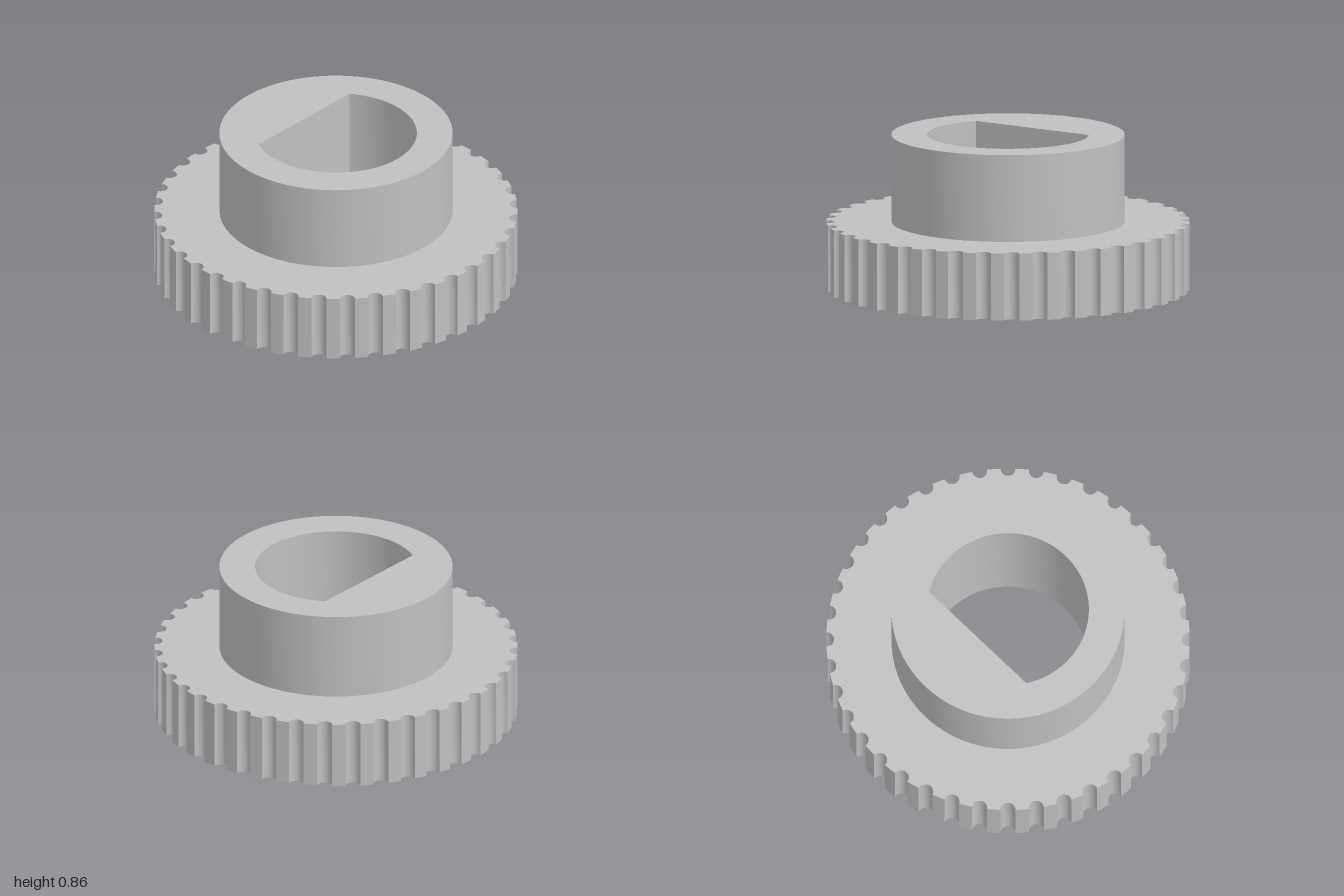
import * as THREE from 'three';
import { toCreasedNormals } from 'three/addons/utils/BufferGeometryUtils.js';

const TEETH = 40, NOTCH = 0.042;
const RIM_TOP = 0.375, HUB_TOP = 0.86;
const HUB_RADIUS = 0.642, BORE_RADIUS = 0.445, BORE_FLAT = 0.235;

// D-shaped bore, with its flat towards the back
function boreHole() {
  const a = Math.asin(BORE_FLAT / BORE_RADIUS);
  const points = [];
  for (let i = 0; i <= 72; i++) {
    const t = Math.PI - a + (i / 72) * (Math.PI + 2 * a);
    points.push(new THREE.Vector2(BORE_RADIUS * Math.cos(t), BORE_RADIUS * Math.sin(t)));
  }
  return new THREE.Path(points);
}

// Round rim with half-round grooves cut into it
function toothedOutline() {
  const points = [];
  const centre = Math.sqrt(1 - NOTCH * NOTCH);
  const pitch = (Math.PI * 2) / TEETH;
  for (let i = 0; i < TEETH; i++) {
    const angle = i * pitch;
    for (let k = 0; k <= 10; k++) {
      const t = (k / 10 - 0.5) * Math.PI;
      const p = new THREE.Vector2(centre - NOTCH * Math.cos(t), NOTCH * Math.sin(t));
      points.push(p.rotateAround(new THREE.Vector2(), angle));
    }
    // middle of the tooth crest
    const mid = angle + pitch / 2;
    points.push(new THREE.Vector2(Math.cos(mid), Math.sin(mid)));
  }
  return new THREE.Shape(points);
}

function circleOutline(radius, segments) {
  const points = [];
  for (let i = 0; i < segments; i++) {
    const t = (i / segments) * Math.PI * 2;
    points.push(new THREE.Vector2(radius * Math.cos(t), radius * Math.sin(t)));
  }
  return new THREE.Shape(points);
}

// Upright extrusion pierced by the bore
function boredPart(name, shape, bottom, top, material) {
  shape.holes.push(boreHole());
  const geometry = new THREE.ExtrudeGeometry(shape, { depth: top - bottom, bevelEnabled: false });
  geometry.rotateX(-Math.PI / 2);
  geometry.translate(0, bottom, 0);
  const mesh = new THREE.Mesh(toCreasedNormals(geometry, 0.5), material);
  mesh.name = name;
  return mesh;
}

export function createModel() {
  const metal = new THREE.MeshStandardMaterial({ color: 0xc0c0c0 });
  metal.name = 'light grey metal';

  const pulley = new THREE.Group();
  pulley.name = 'timingPulley';
  pulley.add(
    boredPart('toothedRim', toothedOutline(), 0, RIM_TOP, metal),
    boredPart('hub', circleOutline(HUB_RADIUS, 96), RIM_TOP, HUB_TOP, metal)
  );
  return pulley;
}
